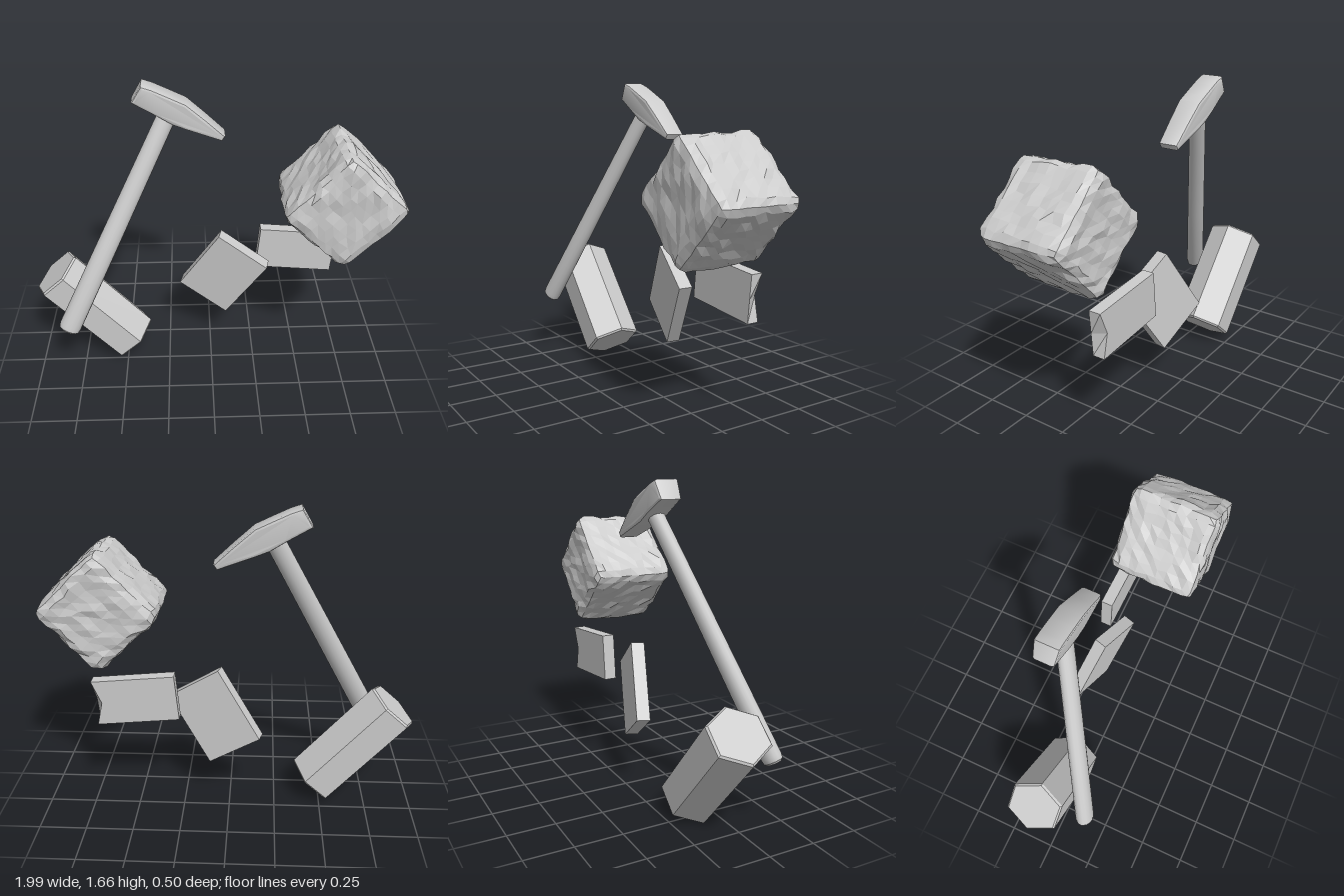
import * as THREE from 'three';
import { toCreasedNormals } from 'three/addons/utils/BufferGeometryUtils.js';

const V2 = (x, y) => new THREE.Vector2(x, y);
const V3 = (x, y, z) => new THREE.Vector3(x, y, z);
const smooth = new THREE.MeshStandardMaterial({ color: 0xcccccc });
const flat = new THREE.MeshStandardMaterial({ color: 0xcccccc, flatShading: true });

function addMesh(parent, name, geometry, material) {
  const mesh = new THREE.Mesh(geometry, material);
  mesh.name = name;
  parent.add(mesh);
  return mesh;
}

// Repeatable value from -1 to 1 for a point, so shared corners move together
function jitter(p, seed) {
  const n = Math.round(p.x * 1000) * 12.9898 + Math.round(p.y * 1000) * 78.233
    + Math.round(p.z * 1000) * 37.719 + seed * 4.137;
  const s = Math.sin(n) * 43758.5453;
  return (s - Math.floor(s)) * 2 - 1;
}

// Move every vertex of a geometry by a rule
function warp(geometry, rule) {
  const pos = geometry.attributes.position;
  const p = V3(0, 0, 0);
  for (let i = 0; i < pos.count; i++) {
    p.fromBufferAttribute(pos, i);
    rule(p);
    pos.setXYZ(i, p.x, p.y, p.z);
  }
  geometry.computeVertexNormals();
  return geometry;
}

// Rounded cube with a rough, hewn surface
function roughBlock(half, radius) {
  const lim = half - radius;
  const cube = new THREE.BoxGeometry(half * 2, half * 2, half * 2, 9, 9, 9);
  return warp(cube, p => {
    const seed = p.clone();
    const inner = p.clone().clampScalar(-lim, lim);
    const dir = p.clone().sub(inner).normalize();
    p.copy(inner).addScaledVector(dir, radius + 0.008 * jitter(seed, 1));
    p.x += 0.008 * jitter(seed, 2) * (1 - Math.abs(dir.x));
    p.y += 0.008 * jitter(seed, 3) * (1 - Math.abs(dir.y));
    p.z += 0.008 * jitter(seed, 4) * (1 - Math.abs(dir.z));
  });
}

export function createModel() {
  const model = new THREE.Group();
  model.name = 'hammerAndBlocks';

  // Rough cube standing on its edge
  const block = addMesh(model, 'roughBlock', roughBlock(0.236, 0.05), flat);
  block.position.set(0.68, 1.11, 0);
  block.rotation.z = Math.PI / 4 + 0.02;

  // Six-sided prism with slightly chamfered ends
  const R = 0.156, L = 0.314, c = 0.01;
  const prism = new THREE.LatheGeometry(
    [V2(0, -L), V2(R - c, -L), V2(R, c - L), V2(R, L - c), V2(R - c, L), V2(0, L)], 6);
  prism.rotateY(Math.PI / 2).scale(1, 1, 1.06);
  const hex = addMesh(model, 'hexagonalPrism', prism, flat);
  hex.position.set(-0.678, 0.34, -0.104);
  hex.rotation.z = 0.723;

  // Hammer
  const hammer = new THREE.Group();
  hammer.name = 'hammer';
  model.add(hammer);

  // Tapered oval handle
  const foot = V3(-0.805, 0.355, 0.155), top = V3(-0.215, 1.51, -0.18);
  const len = foot.distanceTo(top);
  const handleGeo = new THREE.LatheGeometry([
    V2(0, 0), V2(0.044, 0.003), V2(0.057, 0.014), V2(0.061, 0.04),
    V2(0.057, len * 0.4), V2(0.052, len * 0.8), V2(0.05, len), V2(0, len),
  ], 16).scale(1, 1, 0.8);
  const handle = addMesh(hammer, 'handle', toCreasedNormals(handleGeo, 0.6), smooth);
  handle.position.copy(foot);
  handle.quaternion.setFromUnitVectors(V3(0, 1, 0), top.clone().sub(foot).normalize());

  // Head with a square striking end and a wedge-shaped tip
  const bevel = 0.014, depth = 0.128;
  const outline = [
    [-0.383, 1.586], [-0.27, 1.524], [-0.19, 1.475], [-0.12, 1.447], [0.055, 1.381],
    [0.06, 1.389], [-0.03, 1.473], [-0.13, 1.561], [-0.22, 1.604], [-0.3, 1.641], [-0.342, 1.655],
  ].map(([x, y]) => V2(x, y));
  const headGeo = new THREE.ExtrudeGeometry(new THREE.Shape(outline), {
    depth: depth - 2 * bevel, bevelEnabled: true,
    bevelSize: bevel, bevelThickness: bevel, bevelSegments: 2,
  });
  headGeo.translate(0, 0, bevel - depth / 2);
  warp(headGeo, p => {
    const toTip = Math.max(0, p.x + 0.13) / 0.2;
    const toFace = Math.max(0, -0.35 - p.x) / 0.05;
    p.z *= 1 - 0.16 * toTip - 0.15 * toFace;
  });
  const head = addMesh(hammer, 'hammerHead', toCreasedNormals(headGeo, 0.5), smooth);
  head.position.z = -0.184;

  // Tilted rectangular slab
  const slab = addMesh(model, 'tiltedSlab', new THREE.BoxGeometry(0.33, 0.434, 0.072), flat);
  const across = V3(0.27, -0.18, 0.057).normalize();
  const normal = across.clone().cross(V3(0.23, 0.36, 0.08)).normalize();
  const up = normal.clone().cross(across);
  slab.quaternion.setFromRotationMatrix(new THREE.Matrix4().makeBasis(across, up, normal));
  slab.position.set(0.077, 0.52, -0.153);

  // Upright slab with a chip in its back edge
  const chipped = warp(new THREE.BoxGeometry(0.44, 0.252, 0.066, 1, 2, 1), p => {
    if (p.x > 0 && p.z < 0 && Math.abs(p.y) < 0.01) p.x -= 0.04;
  });
  const upright = addMesh(model, 'chippedSlab', chipped, flat);
  upright.position.set(0.496, 0.643, -0.213);
  upright.rotation.z = -0.09;

  return model;
}
